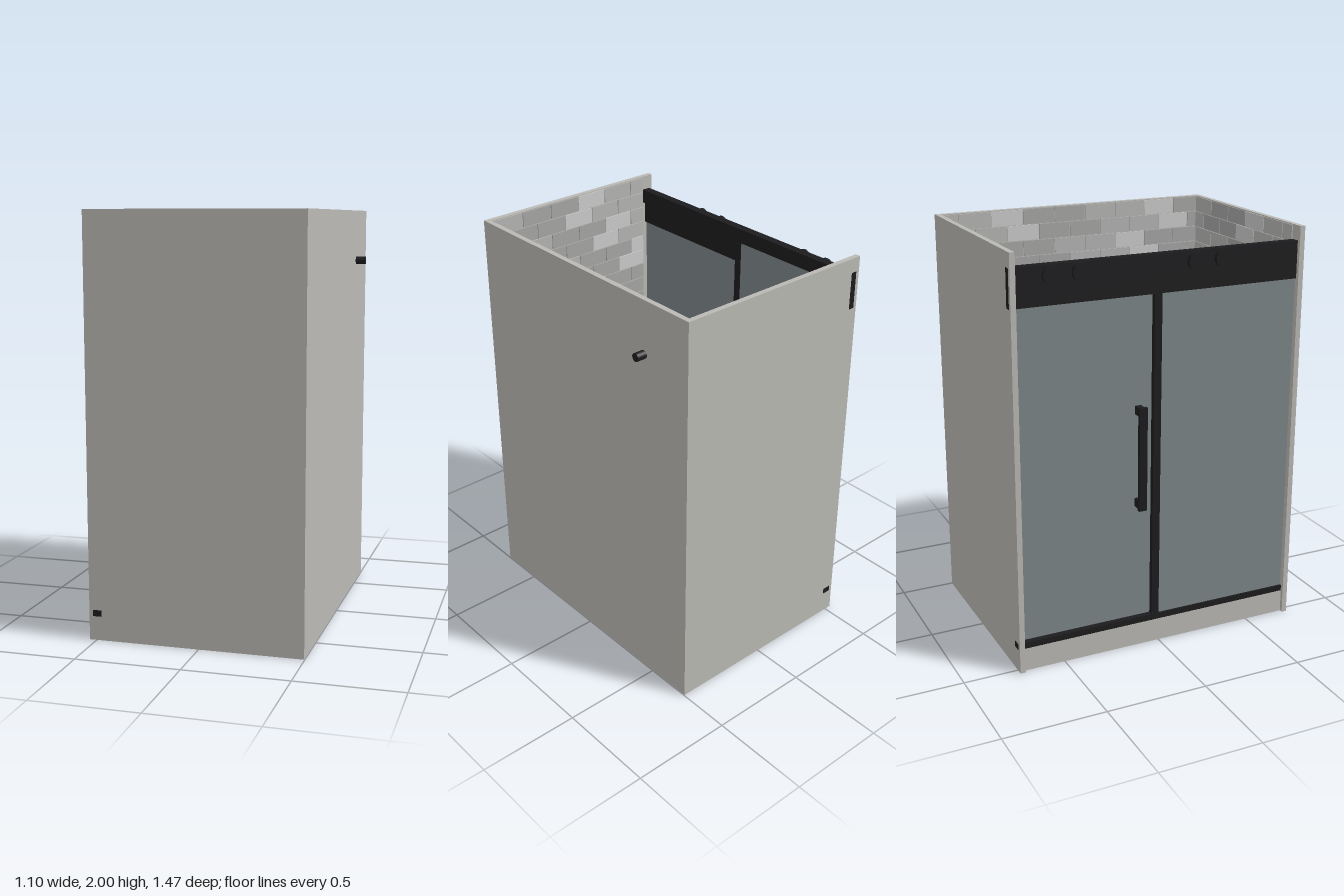
import * as THREE from 'three';
import { mergeGeometries } from 'three/addons/utils/BufferGeometryUtils.js';

const mat = (color) => new THREE.MeshStandardMaterial({ color });
const wallMat = mat(0xbab9b4), black = mat(0x1c1c1e), glassMat = mat(0x7d8587);
const chrome = mat(0xb4b6b8), grout = mat(0xc8c9c3), hexMat = mat(0x666a67);

export function createModel() {
  const root = new THREE.Group();

  const add = (name, geo, material, x = 0, y = 0, z = 0) => {
    const m = new THREE.Mesh(geo, material);
    m.name = name;
    m.position.set(x, y, z);
    root.add(m);
    return m;
  };
  // box given by its limits on each axis
  const box = (name, material, x0, x1, y0, y1, z0, z1) =>
    add(name, new THREE.BoxGeometry(x1 - x0, y1 - y0, z1 - z0), material,
      (x0 + x1) / 2, (y0 + y1) / 2, (z0 + z1) / 2);

  const Z = 0.733, ZI = 0.707, X0 = -0.535, X1 = 0.497, XI = 0.471, FLOOR = 0.08;

  // Shell: base, three walls and the door curb
  box('base', wallMat, -0.518, XI, 0, FLOOR - 0.002, -ZI, ZI);
  box('floorGrout', grout, -0.47, XI, FLOOR - 0.002, FLOOR, -ZI, ZI);
  box('sideWall', wallMat, XI, X1, 0, 2, -Z, Z);
  box('frontWall', wallMat, X0, XI, 0, 2, ZI, Z);
  box('backWall', wallMat, X0, XI, 0, 2, -Z, -ZI);
  box('curb', wallMat, -0.518, -0.47, FLOOR - 0.002, 0.115, -ZI, ZI);

  // Hexagonal floor tiles
  const hexes = [], pitch = 0.0655, rowStep = pitch * 0.866;
  for (let r = 0; r < 24; r++) {
    for (let c = 0; c < 14; c++) {
      const g = new THREE.CylinderGeometry(0.0325, 0.0325, 0.004, 6);
      g.translate(-0.45 + c * pitch + (r % 2 ? 0.033 : 0), FLOOR + 0.002, -0.665 + r * rowStep);
      hexes.push(g);
    }
  }
  add('floorTiles', mergeGeometries(hexes), hexMat);

  // Wall tiles in running bond, in three shades stepping diagonally
  const shades = [0xb5b5b4, 0xa6a6a5, 0xc6c6c5].map(mat);
  const tiles = [[], [], []];
  const tileW = 0.17, tileH = 0.08, gap = 0.004;
  const tileWall = (from, to, place) => {
    for (let r = 0; r < 24; r++) {
      const y0 = FLOOR + r * tileH;
      for (let c = 0; from + (c - 0.5) * tileW < to; c++) {
        const start = from + (c - (r % 2) * 0.5) * tileW;
        const a = Math.max(from, start), b = Math.min(to, start + tileW - gap);
        if (b - a < 0.01) continue;
        const h = Math.min(tileH - gap, 1.995 - y0);
        const shade = [0, 1, 2, 0, 1][(c * 2 + Math.floor(r / 2) * 3) % 5];
        tiles[shade].push(place((a + b) / 2, y0 + h / 2, b - a, h));
      }
    }
  };
  tileWall(-ZI, ZI, (u, y, w, h) => new THREE.BoxGeometry(0.006, h, w).translate(XI - 0.002, y, u));
  for (const s of [-1, 1]) {
    tileWall(-0.47, XI, (u, y, w, h) => new THREE.BoxGeometry(w, h, 0.006).translate(u, y, s * (ZI - 0.002)));
  }
  tiles.forEach((list, i) => add('wallTiles' + (i + 1), mergeGeometries(list), shades[i]));

  // Sliding door: header rail, track, two panes and the meeting post
  box('headerRail', black, -0.517, -0.488, 1.75, 1.93, -Z - 0.001, Z - 0.002);
  box('headerLip', black, -0.488, -0.474, 1.86, 1.93, -ZI, ZI);
  box('bottomTrack', black, -0.517, -0.474, 0.115, 0.145, -Z - 0.001, Z + 0.001);
  box('slidingPane', glassMat, -0.487, -0.477, 0.145, 1.86, -ZI, 0);
  box('fixedPane', glassMat, -0.508, -0.498, 0.145, 1.75, -0.03, ZI);
  box('meetingPost', black, -0.512, -0.474, 0.145, 1.86, -0.035, 0.003);

  // Rollers on the header
  for (const z of [-0.54, -0.4, 0.165, 0.305]) {
    const roller = add('roller', new THREE.CylinderGeometry(0.042, 0.042, 0.02, 32), black, -0.527, 1.885, z);
    roller.rotation.z = Math.PI / 2;
  }

  // Door handle on two standoffs
  box('handleBar', black, -0.551, -0.533, 0.72, 1.23, -0.125, -0.085);
  for (const y of [0.745, 1.205]) {
    box('handleStandoff', black, -0.535, -0.485, y - 0.02, y + 0.02, -0.12, -0.09);
  }

  // Shower arm through the side wall, with a domed head
  const arm = add('showerArm', new THREE.CylinderGeometry(0.02, 0.02, 0.26, 24), black, 0.415, 1.745, -0.45);
  arm.rotation.z = Math.PI / 2;
  const headProfile = [[0, -0.05], [0.078, -0.05], [0.083, -0.04], [0.078, -0.02], [0.06, 0.005], [0.035, 0.022], [0, 0.03]]
    .map(([x, y]) => new THREE.Vector2(x, y));
  add('showerHead', new THREE.LatheGeometry(headProfile, 40), black, 0.288, 1.725, -0.45);

  // Corner shelf with three bottles
  box('cornerShelf', black, 0.285, 0.457, 1.0, 1.025, -ZI, -0.58);
  for (const [x, z, h, color] of [[0.32, -0.632, 0.12, 0x6fa3cc], [0.37, -0.625, 0.1, 0xd0b050], [0.415, -0.665, 0.14, 0xb84040]]) {
    const m = mat(color);
    add('bottle', new THREE.CylinderGeometry(0.017, 0.017, h, 20), m, x, 1.025 + h / 2, z);
    add('bottleTop', new THREE.SphereGeometry(0.017, 20, 12), m, x, 1.025 + h, z);
  }

  // Wall ledge and floor drain
  box('wallLedge', chrome, 0.413, XI, 0.98, 1.01, -0.495, -0.13);
  add('drain', new THREE.SphereGeometry(0.03, 24, 12, 0, Math.PI * 2, 0, Math.PI / 2), chrome, -0.003, FLOOR, 0.053);

  return root;
}
